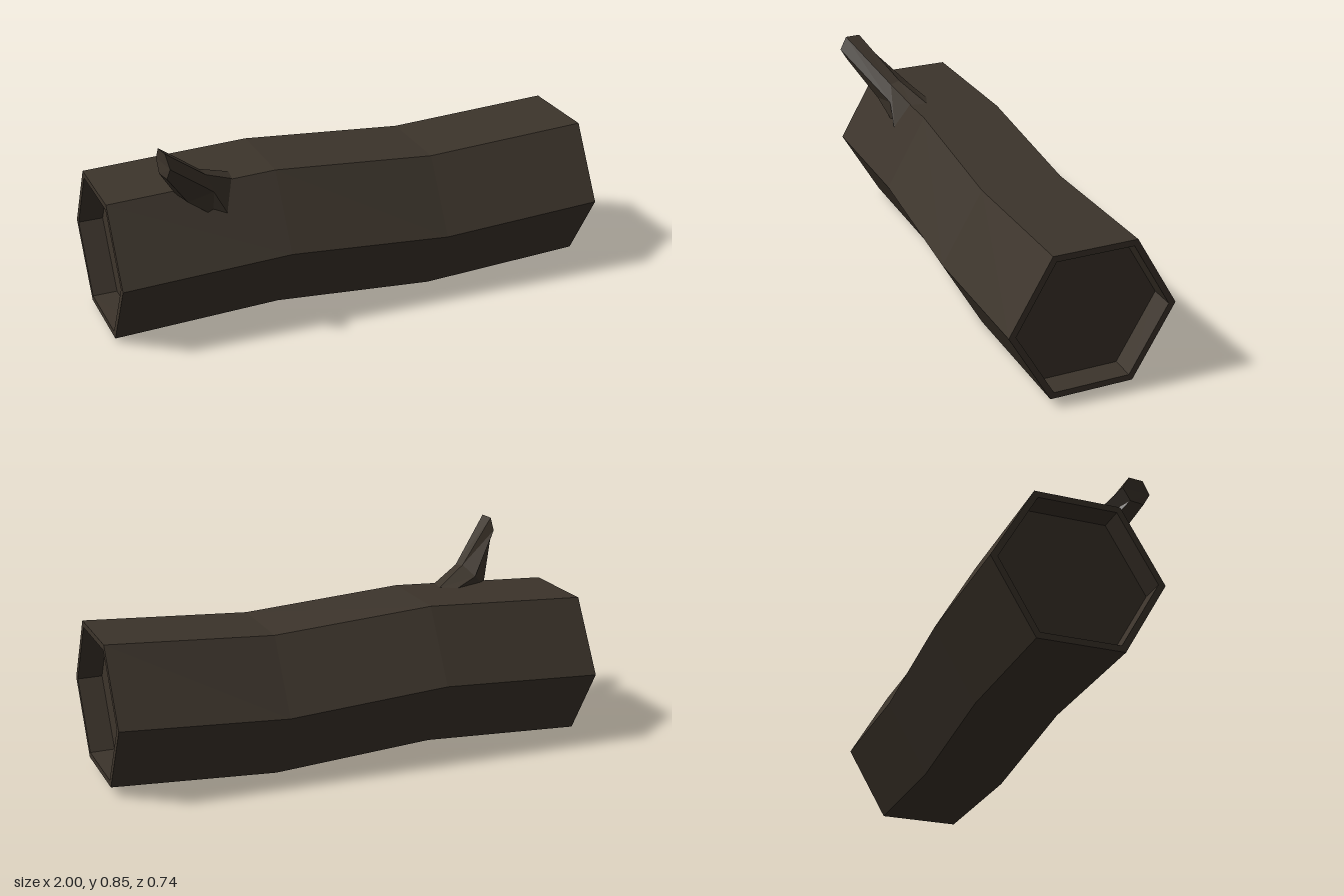
import * as THREE from 'three';

// Closed-loop skin: joins successive rings of points with quads, optionally capping the last ring.
function skin(rings, capEnd) {
  const n = rings[0].length;
  const index = [];
  for (let r = 0; r < rings.length - 1; r++) {
    for (let i = 0; i < n; i++) {
      const a = r * n + i, b = r * n + (i + 1) % n;
      index.push(a, b, b + n, a, b + n, a + n);
    }
  }
  const last = (rings.length - 1) * n;
  if (capEnd) for (let i = 1; i < n - 1; i++) index.push(last, last + i, last + i + 1);
  const geometry = new THREE.BufferGeometry();
  geometry.setAttribute('position', new THREE.Float32BufferAttribute(rings.flat(2), 3));
  geometry.setIndex(index);
  const flat = geometry.toNonIndexed();
  flat.computeVertexNormals();
  return flat;
}

// Upright hexagon across the trunk, with points towards +z and -z.
function hexRing([x, y, z], radius, dir = 1) {
  return Array.from({ length: 6 }, (_, i) => {
    const a = -dir * i * Math.PI / 3;
    return [x, y + radius * Math.sin(a), z + radius * Math.cos(a)];
  });
}

export function createModel() {
  const group = new THREE.Group();
  const bark = new THREE.MeshStandardMaterial({ color: 0x3c342b, flatShading: true });
  bark.name = 'bark';

  const add = (name, geometry) => {
    const mesh = new THREE.Mesh(geometry, bark);
    mesh.name = name;
    group.add(mesh);
  };

  // Gently wavy six-sided trunk
  const outer = 0.333, inner = 0.305, depth = 0.1;
  const path = [[-1, 0.305, -0.036], [-0.33, 0.337, -0.012], [0.33, 0.289, 0.012], [1, 0.327, 0.036]];
  add('trunk', skin(path.map((p) => hexRing(p, outer)), false));

  // Recessed ends: rim, inner wall and sunken face
  for (const [name, end, side] of [['leftEnd', path[3], 1], ['rightEnd', path[0], -1]]) {
    const floor = [end[0] - side * depth, end[1], end[2]];
    const rings = [hexRing(end, outer, side), hexRing(end, inner, side), hexRing(floor, inner, side)];
    add(name, skin(rings, true));
  }

  // Broken branch stub: flared base, bend and tip, each running front, top, back, bottom
  const base = [
    [-0.535, 0.48, 0.21], [-0.49, 0.61, 0.14], [-0.49, 0.615, 0.075],
    [-0.555, 0.61, 0.045], [-0.62, 0.5, 0.1], [-0.6, 0.5, 0.19],
  ];
  const bend = [
    [-0.6, 0.605, 0.205], [-0.625, 0.675, 0.19], [-0.637, 0.683, 0.147],
    [-0.666, 0.645, 0.085], [-0.73, 0.59, 0.13], [-0.71, 0.59, 0.222],
  ];
  const tip = [
    [-0.81, 0.797, 0.35], [-0.818, 0.848, 0.32], [-0.825, 0.847, 0.258],
    [-0.826, 0.797, 0.23], [-0.826, 0.746, 0.26], [-0.815, 0.746, 0.32],
  ];
  add('branch', skin([base, bend, tip], true));

  return group;
}
